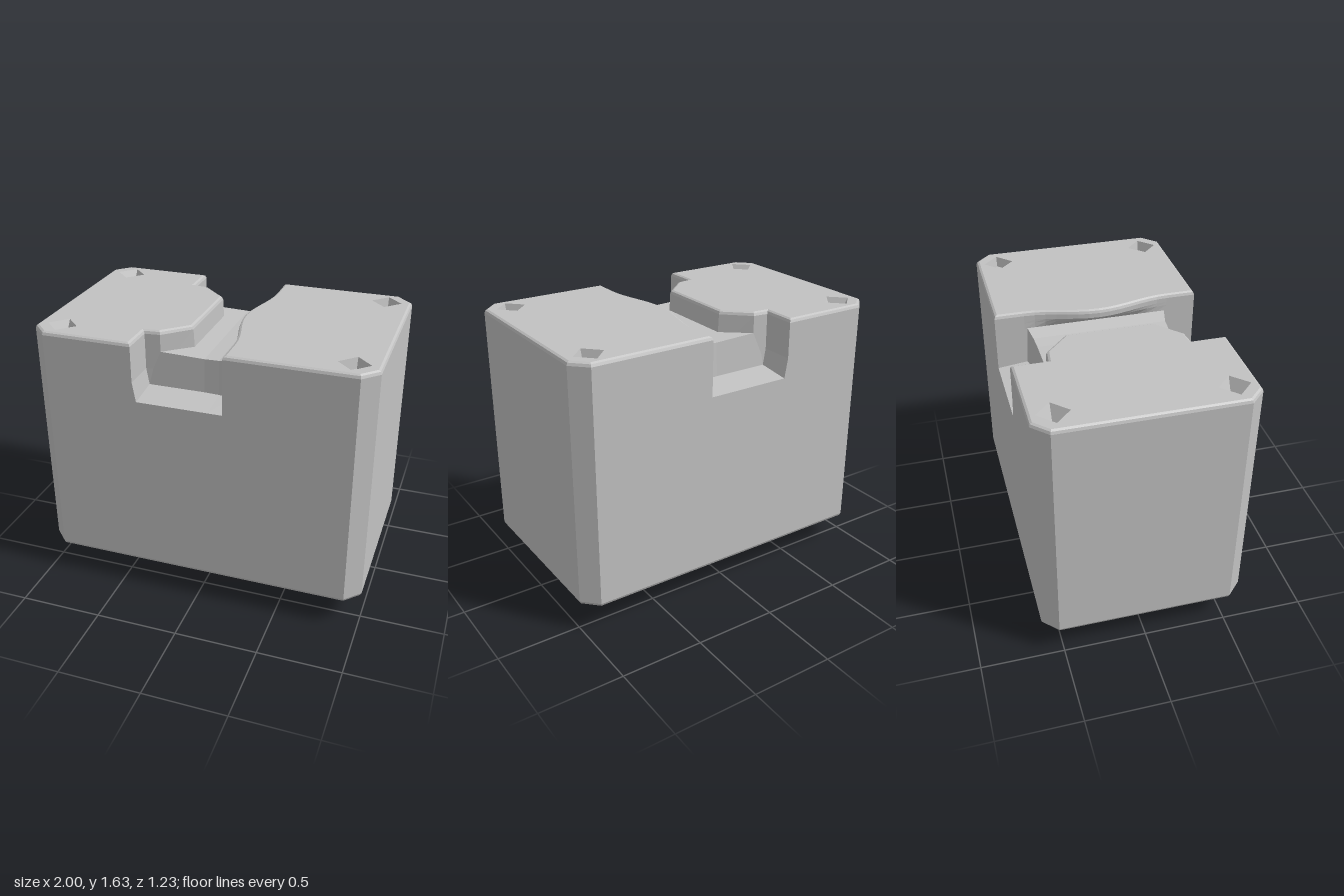
import * as THREE from 'three';

const W = 1, D = 0.615, C = 0.09;               // half width, half depth, corner chamfer
const BASE = 0.17, FLOOR = 1.28, TOP = 1.635;   // main heights

const P = (x, w) => new THREE.Vector2(x, w);    // plan point, w = -z, rings run counter-clockwise

// Mitred inward offset of a ring
function inset(ring, d) {
  const n = ring.length;
  return ring.map((p, i) => {
    const a = p.clone().sub(ring[(i + n - 1) % n]).normalize();
    const b = ring[(i + 1) % n].clone().sub(p).normalize();
    const k = d / (1 + a.dot(b));
    return P(p.x - (a.y + b.y) * k, p.y + (a.x + b.x) * k);
  });
}

function band(out, lo, y0, hi, y1, flip = false) {
  lo.forEach((a, i) => {
    const j = (i + 1) % lo.length;
    const q = [[lo[i], y0], [lo[j], y0], [hi[j], y1], [hi[i], y1]];
    const order = flip ? [0, 2, 1, 0, 3, 2] : [0, 1, 2, 0, 2, 3];
    for (const k of order) out.push(q[k][0].x, q[k][1], -q[k][0].y);
  });
}

function cap(out, ring, y, up, holes = []) {
  const pts = [ring, ...holes].flat();
  for (const f of THREE.ShapeUtils.triangulateShape(ring, holes)) {
    for (const k of up ? f : [f[2], f[1], f[0]]) out.push(pts[k].x, y, -pts[k].y);
  }
}

// Diamond outline of a corner pit
const diamond = ([x, w], r) => [P(x, w - r), P(x + r, w), P(x, w + r), P(x - r, w)];

// Stacked rings with optional tapered pits in the top or bottom cap
function stack(levels, { top = [], bottom = [], bottomCap = false, size = 0.09, depth = 0.06, taper = 0.7 }) {
  const out = [];
  for (let i = 1; i < levels.length; i++) band(out, levels[i - 1][1], levels[i - 1][0], levels[i][1], levels[i][0]);
  const [y0, r0] = levels[0], [y1, r1] = levels[levels.length - 1];
  cap(out, r1, y1, true, top.map(c => diamond(c, size)));
  for (const c of top) {
    const floor = diamond(c, size * taper);
    band(out, floor, y1 - depth, diamond(c, size), y1, true);
    cap(out, floor, y1 - depth, true);
  }
  if (bottomCap) cap(out, r0, y0, false, bottom.map(c => diamond(c, size)));
  for (const c of bottom) {
    const floor = diamond(c, size * taper);
    band(out, diamond(c, size), y0, floor, y0 + depth, true);
    cap(out, floor, y0 + depth, false);
  }
  const g = new THREE.BufferGeometry();
  g.setAttribute('position', new THREE.Float32BufferAttribute(out, 3));
  g.computeVertexNormals();
  return g;
}

// Plan of the block left of the slot: s = outer slot wall, b = bay front
const leftPlan = (s, b) => [
  P(-W + C, -D), P(s, -D), P(s, -0.41), P(-0.28, -0.4), P(b, -0.26), P(b, 0.26),
  P(-0.28, 0.4), P(s, 0.41), P(s, D), P(-W + C, D), P(-W, D - C), P(-W, -D + C),
];

// Plan of the block right of the slot: k = amount of the bowed lip
function rightPlan(k) {
  const ring = [P(0.165, -D), P(W - C, -D), P(W, -D + C), P(W, D - C), P(W - C, D), P(0.165, D)];
  for (let i = 0; i <= 14; i++) {
    const t = 1 - i / 7;
    ring.push(P(0.165 - 0.075 * k * Math.cos(t * Math.PI / 2) ** 2, 0.44 * t));
  }
  return ring;
}

export function createModel() {
  const group = new THREE.Group();
  const grey = new THREE.MeshStandardMaterial({ color: 0xc2c2c2 });
  grey.name = 'grey';
  const add = (name, geometry) => {
    const m = new THREE.Mesh(geometry, grey);
    m.name = name;
    group.add(m);
  };
  const pair = x => [[x, -0.48], [x, 0.48]];

  // Lower body with six pits underneath
  const oct = [P(-W + C, -D), P(W - C, -D), P(W, -D + C), P(W, D - C),
    P(W - C, D), P(-W + C, D), P(-W, D - C), P(-W, -D + C)];
  add('body', stack(
    [[BASE, inset(oct, 0.022)], [BASE + 0.007, inset(oct, 0.008)], [BASE + 0.024, oct], [FLOOR, oct]],
    { bottomCap: true, bottom: [...pair(0.85), ...pair(0.17), ...pair(-0.85)], size: 0.07 }));

  // Upper blocks on both sides of the slot
  const rim = ring => [[TOP - 0.022, ring], [TOP - 0.007, inset(ring, 0.006)], [TOP, inset(ring, 0.018)]];
  add('leftBlock', stack(
    [[FLOOR, leftPlan(-0.35, -0.115)], [1.4, leftPlan(-0.37, -0.12)], ...rim(leftPlan(-0.37, -0.13))],
    { top: pair(-0.85), depth: 0.09, taper: 0.4 }));
  add('rightBlock', stack(
    [[FLOOR, rightPlan(0)], [1.53, rightPlan(0)], [1.565, rightPlan(0.75)], [1.585, rightPlan(1)], ...rim(rightPlan(1))],
    { top: pair(0.85), taper: 0.8 }));

  // Raised saddle across the slot with sloping end floors
  const saddleShape = new THREE.Shape([P(-0.614, 1.28), P(0.614, 1.28), P(0.41, 1.3), P(0.4, 1.5), P(-0.4, 1.5), P(-0.41, 1.3)]);
  const saddle = new THREE.ExtrudeGeometry(saddleShape, { depth: 0.535, steps: 6, bevelEnabled: false });
  saddle.rotateY(Math.PI / 2).translate(-0.37, 0, 0);
  const pos = saddle.attributes.position;
  for (let i = 0; i < pos.count; i++) {
    const x = pos.getX(i), rise = Math.max(0, (x - 0.05) / 0.115);
    if (pos.getY(i) > 1.45) pos.setY(i, 1.5 + 0.03 * rise + Math.max(0, 0.05 - x) * 0.03);
    if (pos.getY(i) > 1.29) pos.setZ(i, pos.getZ(i) * (1 + 0.06 * rise));
  }
  saddle.computeVertexNormals();
  add('saddle', saddle);

  // Stepped round foot
  const lathe = (name, profile, sides) => {
    const g = new THREE.LatheGeometry(profile.map(p => P(...p)), sides).toNonIndexed();
    g.computeVertexNormals();
    g.translate(0.51, 0, 0);
    add(name, g);
  };
  lathe('footDisc', [[0, 0.085], [0.405, 0.085], [0.412, 0.09], [0.443, 0.155], [0.448, 0.18]], 40);
  lathe('footKnob', [[0, 0], [0.162, 0], [0.17, 0.006], [0.205, 0.078], [0.207, 0.09]], 24);

  return group;
}
